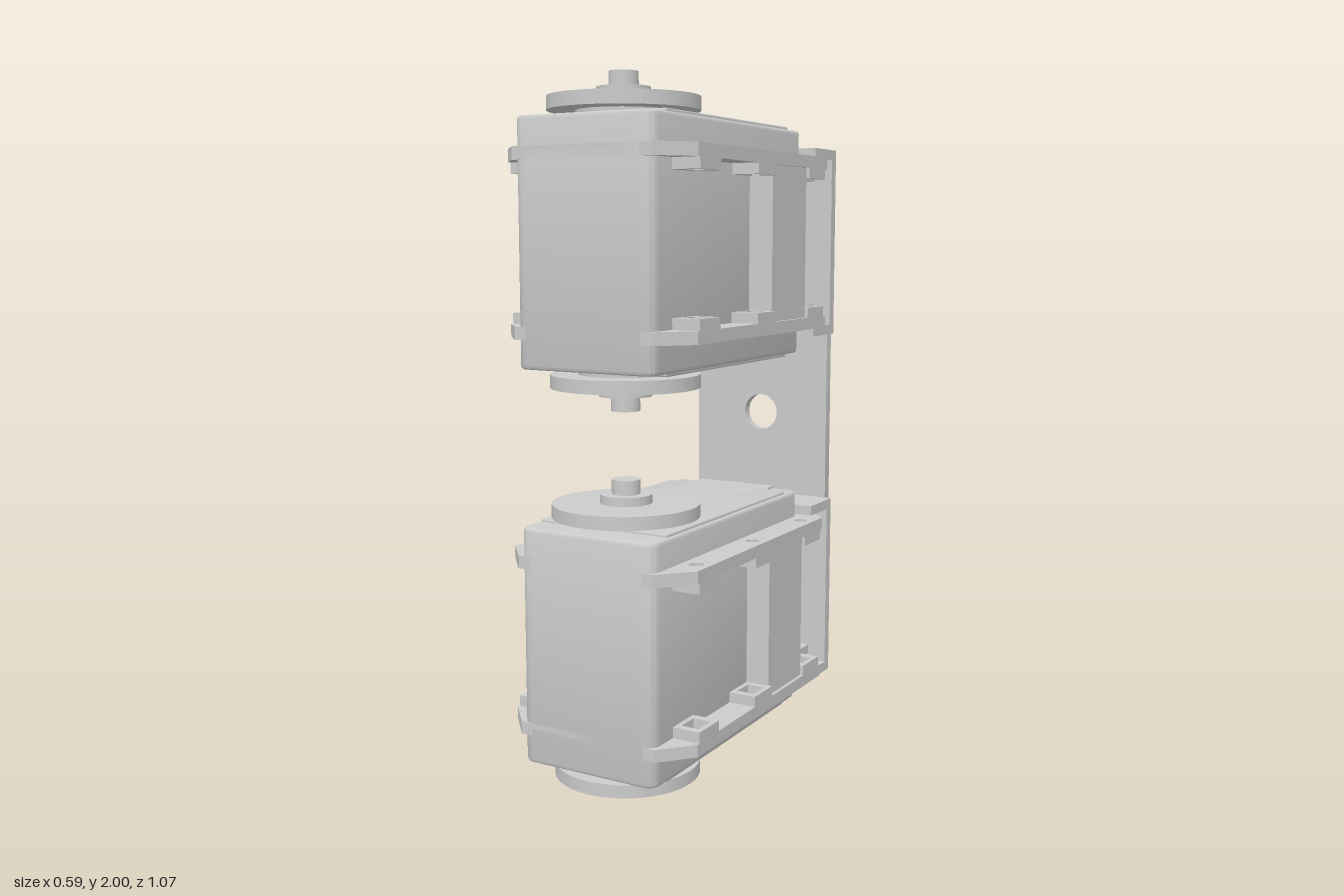
import * as THREE from 'three';
import { toCreasedNormals } from 'three/addons/utils/BufferGeometryUtils.js';

const material = new THREE.MeshStandardMaterial({ color: 0xcccccc });

function add(parent, name, geometry, x = 0, y = 0, z = 0) {
  const mesh = new THREE.Mesh(geometry, material);
  mesh.name = name;
  mesh.position.set(x, y, z);
  parent.add(mesh);
  return mesh;
}

// Box given by its minimum and maximum corners
function box(parent, name, a, b) {
  return add(parent, name, new THREE.BoxGeometry(b[0] - a[0], b[1] - a[1], b[2] - a[2]),
    (a[0] + b[0]) / 2, (a[1] + b[1]) / 2, (a[2] + b[2]) / 2);
}

// Plan outline from [x, z] points
const plan = (points) => new THREE.Shape(points.map(([x, z]) => new THREE.Vector2(x, -z)));

function roundedPlan(x0, z0, x1, z1, r) {
  const s = new THREE.Shape();
  s.absarc(x1 - r, -z0 - r, r, 0, Math.PI / 2);
  s.absarc(x0 + r, -z0 - r, r, Math.PI / 2, Math.PI);
  s.absarc(x0 + r, -z1 + r, r, Math.PI, Math.PI * 1.5);
  s.absarc(x1 - r, -z1 + r, r, Math.PI * 1.5, Math.PI * 2);
  s.closePath();
  return s;
}

function roundHole(x, y, r) {
  const path = new THREE.Path();
  path.absarc(x, y, r, 0, Math.PI * 2, true);
  return path;
}

// Solid standing on a plan outline between heights y0 and y1
function slab(shape, y0, y1, bevel = 0) {
  const g = new THREE.ExtrudeGeometry(shape, {
    depth: y1 - y0 - 2 * bevel, bevelEnabled: bevel > 0, bevelSize: bevel,
    bevelThickness: bevel, bevelOffset: -bevel, bevelSegments: 3, curveSegments: 10,
  });
  g.translate(0, 0, y0 + bevel).rotateX(-Math.PI / 2);
  return toCreasedNormals(g, 0.6);
}

const HOLES_Z = [-0.275, 0.05, 0.375];

// Everything above the motor's middle plane; used twice
function motorHalf() {
  const half = new THREE.Group();
  half.name = 'motorHalf';

  // Raised lid with cut-out rear corners
  const lid = new THREE.Shape();
  lid.moveTo(-0.203, -0.44);
  lid.lineTo(0.203, -0.44);
  lid.lineTo(0.203, 0.262);
  lid.lineTo(0.17, 0.262);
  lid.quadraticCurveTo(0.128, 0.262, 0.128, 0.338);
  lid.lineTo(-0.128, 0.338);
  lid.quadraticCurveTo(-0.128, 0.262, -0.17, 0.262);
  lid.lineTo(-0.203, 0.262);
  lid.closePath();
  add(half, 'lid', slab(lid, 0.32, 0.34, 0.003));

  // Mounting flange with screw holes
  const flange = plan([[-0.215, 0.53], [0.215, 0.53], [0.295, 0.44], [0.295, -0.345],
    [0.215, -0.43], [-0.215, -0.43], [-0.295, -0.345], [-0.295, 0.44]]);
  for (const side of [-1, 1]) {
    for (const z of HOLES_Z) flange.holes.push(roundHole(side * 0.255, -z, 0.019));
  }
  add(half, 'mountingFlange', slab(flange, 0.218, 0.253));
  box(half, 'flangeTail', [-0.215, 0.188, -0.43], [0.215, 0.218, -0.345]);

  // Hollow screw bosses below the flange
  for (const side of [-1, 1]) {
    for (const z of HOLES_Z) {
      const x = side * 0.254;
      const boss = plan([[x - 0.041, z + 0.055], [x + 0.041, z + 0.055],
        [x + 0.041, z - 0.055], [x - 0.041, z - 0.055]]);
      boss.holes.push(new THREE.Path([[-1, -1], [-1, 1], [1, 1], [1, -1]].map(
        ([u, v]) => new THREE.Vector2(x + u * 0.027, -z + v * 0.032))));
      add(half, 'screwBoss', slab(boss, 0.188, 0.218));
    }
  }

  // Output horn: hub, disc, collar and shaft
  const horn = new THREE.Group();
  horn.name = 'outputHorn';
  horn.position.z = 0.32;
  half.add(horn);
  for (const [name, r, y0, y1] of [['hornHub', 0.13, 0.32, 0.355], ['hornDisc', 0.206, 0.35, 0.387],
    ['hornCollar', 0.073, 0.385, 0.412], ['hornShaft', 0.04, 0.41, 0.4525]]) {
    add(horn, name, new THREE.CylinderGeometry(r, r, y1 - y0, 48), 0, (y0 + y1) / 2, 0);
  }
  return half;
}

function motor() {
  const group = new THREE.Group();
  group.name = 'motor';
  add(group, 'motorBody', slab(roundedPlan(-0.213, -0.345, 0.213, 0.53, 0.035), -0.332, 0.332, 0.01));

  // Raised block on each side between the flanges
  for (const side of [-1, 1]) {
    const block = box(group, 'sideBlock', [-0.04, -0.22, -0.22], [0.04, 0.22, 0]);
    block.position.x = side * 0.245;
  }

  const top = motorHalf();
  const bottom = motorHalf();
  bottom.rotation.z = Math.PI;
  group.add(top, bottom);

  // C-shaped bracket gripping the rear of the flanges
  const bracket = new THREE.Group();
  bracket.name = 'rearBracket';
  box(bracket, 'bracketTop', [-0.253, 0.253, -0.505], [0.253, 0.283, -0.353]);
  box(bracket, 'bracketBottom', [-0.253, -0.283, -0.505], [0.253, -0.253, -0.353]);
  box(bracket, 'bracketBack', [-0.253, -0.253, -0.505], [0.253, 0.253, -0.475]);
  group.add(bracket);
  return group;
}

export function createModel() {
  const model = new THREE.Group();
  model.name = 'twinMotorAssembly';

  for (const y of [0.4525, 1.5475]) {
    const m = motor();
    m.position.y = y;
    model.add(m);
  }

  // Connecting back plate with a central hole
  const plate = roundedPlan(-0.232, -0.755, 0.232, 0.755, 0.015);
  plate.holes.push(roundHole(0, 0, 0.058));
  const geometry = slab(plate, 0, 0.03);
  geometry.rotateX(Math.PI / 2);
  add(model, 'backPlate', geometry, 0, 1.0, -0.535);
  return model;
}
